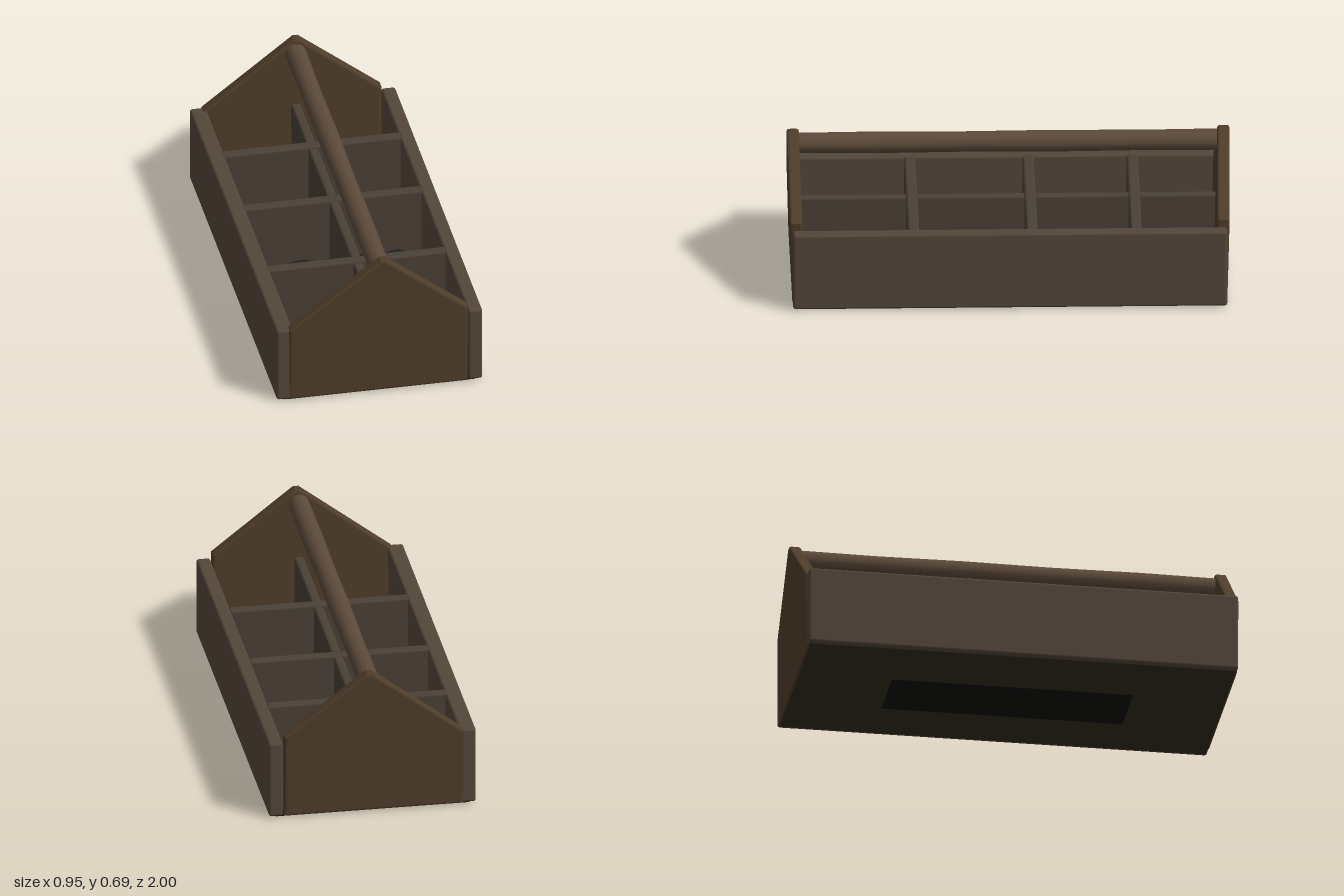
import * as THREE from 'three';
import { RoundedBoxGeometry } from 'three/addons/geometries/RoundedBoxGeometry.js';

const mat = (color) => new THREE.MeshStandardMaterial({ color });

export function createModel() {
  const model = new THREE.Group();
  const wood = mat(0x54463a), endWood = mat(0x4f3d2a), dividerWood = mat(0x4a4036);
  const handleWood = mat(0x5c4a3a), dark = mat(0x1f1f22), underside = mat(0x33291d), black = mat(0x080706);

  const add = (name, geometry, material, x = 0, y = 0, z = 0) => {
    const mesh = new THREE.Mesh(geometry, material);
    mesh.name = name;
    mesh.position.set(x, y, z);
    model.add(mesh);
    return mesh;
  };
  // Board given by its size and centre, with slightly worn edges
  const board = (name, w, h, d, x, y, z, material) =>
    add(name, new RoundedBoxGeometry(w, h, d, 2, 0.012), material, x, y, z);

  // Long side walls and base
  board('leftWall', 0.065, 0.365, 1.96, 0.441, 0.192, 0, wood);
  board('rightWall', 0.075, 0.365, 1.96, -0.437, 0.192, 0, wood);
  board('base', 0.9, 0.045, 1.95, 0, 0.026, 0, underside);
  add('undersidePatch', new THREE.BoxGeometry(0.31, 0.004, 1.1), black, 0.02, 0.003, 0);

  // Pointed end boards, leaning out a little towards the top
  const bevel = 0.01;
  const outline = new THREE.Shape([
    [-0.41, 0.015], [0.395, 0.015], [0.395, 0.4], [0.025, 0.688], [0.005, 0.688], [-0.41, 0.37],
  ].map(([x, y]) => new THREE.Vector2(x, y)));
  for (const side of [1, -1]) {
    const geometry = new THREE.ExtrudeGeometry(outline, {
      depth: 0.035, bevelEnabled: true, bevelSize: bevel, bevelThickness: bevel,
      bevelOffset: -0.002, bevelSegments: 2,
    });
    geometry.translate(0, 0, -0.0175);
    const p = geometry.attributes.position;
    for (let i = 0; i < p.count; i++) p.setZ(i, p.getZ(i) + side * 0.018 * p.getY(i) / 0.7);
    geometry.computeVertexNormals();
    add(side > 0 ? 'frontEndBoard' : 'backEndBoard', geometry, endWood, 0, 0, side * 0.954);
  }

  // Round carrying handle, slightly thicker at places
  const points = [-0.95, -0.6, -0.2, 0.2, 0.6, 0.95].map(
    (z, i) => new THREE.Vector2(i % 2 ? 0.046 : 0.049, z));
  const handle = add('handle', new THREE.LatheGeometry(points, 16), handleWood, 0.008, 0.628, 0);
  handle.rotation.x = Math.PI / 2;

  // Dividers: one along the middle, three across
  board('middleDivider', 0.045, 0.32, 1.9, 0.008, 0.205, 0, dividerWood);
  for (const z of [-0.57, -0.1, 0.435]) board('crossDivider', 0.83, 0.33, 0.052, 0, 0.21, z, dividerWood);

  // Rough dark floor inside the compartments
  const floor = new THREE.PlaneGeometry(0.83, 1.88, 28, 60).rotateX(-Math.PI / 2);
  const f = floor.attributes.position;
  for (let i = 0; i < f.count; i++) {
    const x = f.getX(i), z = f.getZ(i);
    f.setY(i, 0.012 * Math.sin(31 * x + 9 * z) * Math.cos(23 * z - 14 * x) + 0.006 * Math.sin(57 * z + 40 * x));
  }
  floor.computeVertexNormals();
  add('compartmentFloor', floor, dark, 0, 0.068, 0);

  return model;
}
